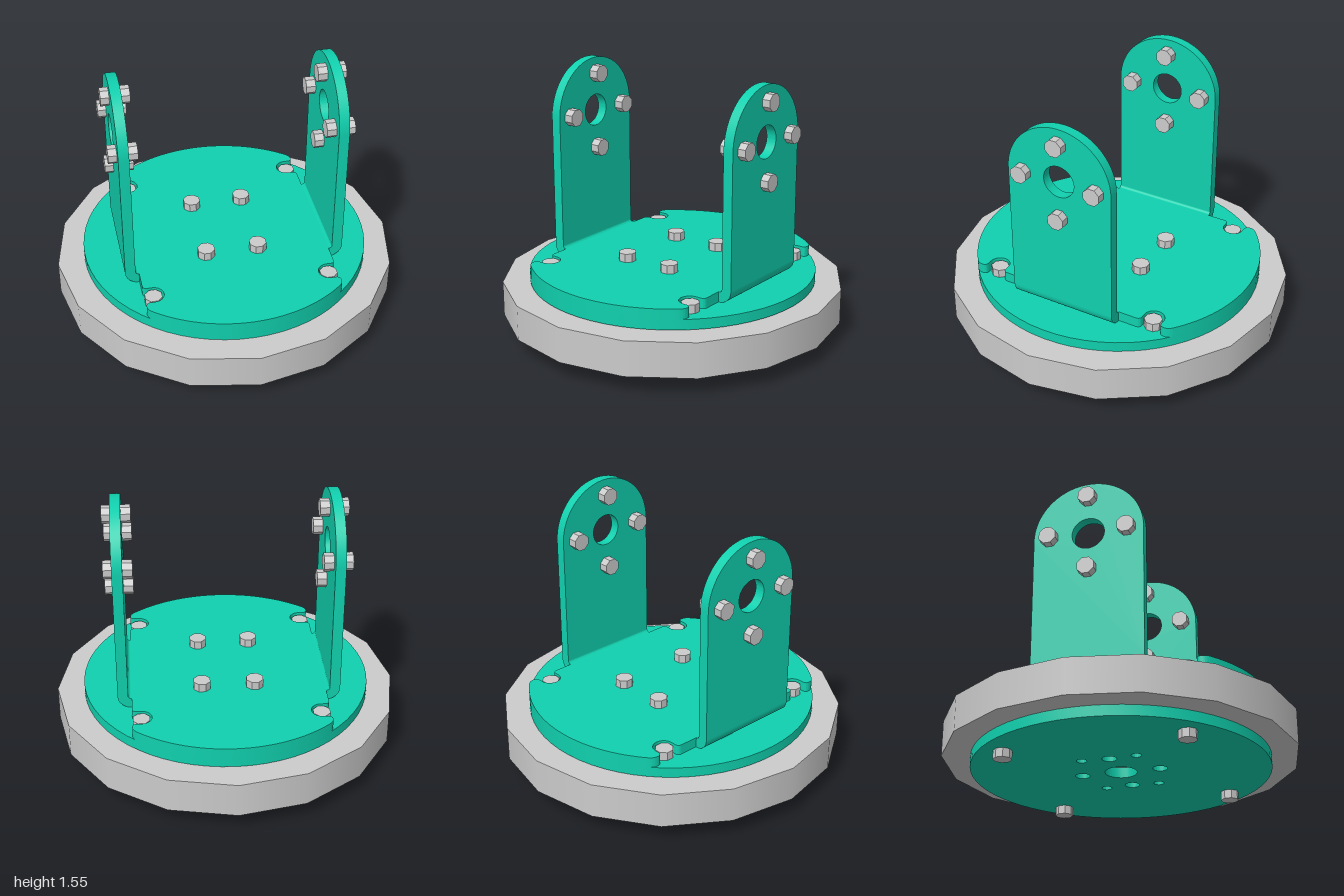
import * as THREE from 'three';
import { toCreasedNormals } from 'three/addons/utils/BufferGeometryUtils.js';

const teal = new THREE.MeshStandardMaterial({ color: 0x10d0ae });
const grey = new THREE.MeshStandardMaterial({ color: 0xcccccc });
const steel = new THREE.MeshStandardMaterial({ color: 0xcccccc, flatShading: true });

const SIGNS = [[1, 1], [-1, 1], [-1, -1], [1, -1]];

function addMesh(parent, name, geometry, material) {
  const mesh = new THREE.Mesh(geometry, material);
  mesh.name = name;
  parent.add(mesh);
  return mesh;
}

function extrude(shape, depth, curveSegments = 32) {
  const g = new THREE.ExtrudeGeometry(shape, { depth, bevelEnabled: false, curveSegments });
  return toCreasedNormals(g, 0.5);
}

function hole(shape, x, y, r) {
  shape.holes.push(new THREE.Path().absarc(x, y, r, 0, Math.PI * 2, true));
}

// Eight-sided bolt with flats square to the axes, running from 'from' to 'to'
function boltGeometry(from, to) {
  const g = new THREE.CylinderGeometry(0.052, 0.052, to - from, 8);
  g.rotateY(Math.PI / 8);
  g.translate(0, (from + to) / 2, 0);
  return g;
}

// Round drilled plate lying flat
function discPlate() {
  const shape = new THREE.Shape().absarc(0, 0, 0.84, 0, Math.PI * 2, false);
  hole(shape, 0, 0, 0.09);
  for (const [a, b] of SIGNS) hole(shape, a * 0.235, b * 0.155, 0.029);
  for (let i = 0; i < 4; i++) {
    const t = i * Math.PI / 2;
    hole(shape, 0.225 * Math.cos(t), 0.225 * Math.sin(t), 0.041);
  }
  return extrude(shape, 0.06).rotateX(-Math.PI / 2);
}

// Bracket floor: a disc cut straight at both sides, notched around the corner bolts
function bracketFloor() {
  const q = new THREE.Path();
  q.moveTo(0.56, 0);
  q.lineTo(0.56, 0.425);
  q.quadraticCurveTo(0.56, 0.452, 0.533, 0.452);
  q.lineTo(0.508, 0.452);
  q.absarc(0.508, 0.512, 0.06, -Math.PI / 2, Math.PI / 2, true);
  q.lineTo(0.533, 0.572);
  q.quadraticCurveTo(0.56, 0.572, 0.56, 0.6);
  q.quadraticCurveTo(0.56, 0.625, 0.537, 0.646);
  q.absarc(0, 0, 0.84, Math.atan2(0.646, 0.537), Math.PI / 2, false);
  const quarter = q.getPoints(14);
  const half = [...quarter, ...quarter.slice(0, -1).reverse().map(p => new THREE.Vector2(-p.x, p.y))];
  const lower = half.slice(1, -1).reverse().map(p => new THREE.Vector2(p.x, -p.y));
  return extrude(new THREE.Shape([...half, ...lower]), 0.06).rotateX(-Math.PI / 2);
}

// Upright arm with a rounded top and an axle hole
function armGeometry() {
  const s = new THREE.Shape();
  s.moveTo(-0.318, 0.455);
  s.lineTo(0.318, 0.455);
  s.lineTo(0.318, 1.23);
  s.absarc(0, 1.23, 0.318, 0, Math.PI, false);
  s.closePath();
  hole(s, 0, 1.23, 0.094);
  return extrude(s, 0.06).rotateY(Math.PI / 2).translate(0.58, 0, 0);
}

// Quarter bend joining floor and arm
function bendGeometry() {
  const s = new THREE.Shape();
  s.moveTo(0.55, 0.38);
  s.lineTo(0.565, 0.38);
  s.absarc(0.565, 0.455, 0.075, -Math.PI / 2, 0, false);
  s.lineTo(0.58, 0.455);
  s.absarc(0.565, 0.455, 0.015, 0, -Math.PI / 2, true);
  s.lineTo(0.55, 0.44);
  s.closePath();
  return extrude(s, 0.636, 10).translate(0, 0, -0.318);
}

export function createModel() {
  const model = new THREE.Group();
  model.name = 'panTurntableBracket';

  // Sixteen-sided turntable body between two plates
  addMesh(model, 'turntableBody', new THREE.CylinderGeometry(1, 1, 0.205, 16), grey).position.y = 0.2125;
  addMesh(model, 'lowerPlate', discPlate(), teal).position.y = 0.05;
  const upper = addMesh(model, 'upperPlate', discPlate(), teal);
  upper.position.y = 0.32;
  upper.rotation.y = Math.PI / 2;

  // U-shaped bracket
  const bracket = new THREE.Group();
  bracket.name = 'bracket';
  model.add(bracket);
  addMesh(bracket, 'bracketFloor', bracketFloor(), teal).position.y = 0.38;

  const arm = armGeometry();
  const bend = bendGeometry();
  const armBolt = boltGeometry(0.525, 0.688).rotateZ(-Math.PI / 2);
  for (const side of [1, -1]) {
    const group = new THREE.Group();
    group.name = side > 0 ? 'leftArm' : 'rightArm';
    group.rotation.y = side > 0 ? 0 : Math.PI;
    bracket.add(group);
    addMesh(group, 'armPlate', arm, teal);
    addMesh(group, 'armBend', bend, teal);
    for (let i = 0; i < 4; i++) {
      const t = i * Math.PI / 2;
      addMesh(group, 'armBolt', armBolt, steel)
        .position.set(0, 1.23 + 0.225 * Math.sin(t), 0.225 * Math.cos(t));
    }
  }

  // Long corner bolts through the turntable and short bolts in the bracket floor
  const cornerBolt = boltGeometry(0, 0.43);
  const floorBolt = boltGeometry(0.32, 0.49);
  for (const [a, b] of SIGNS) {
    addMesh(model, 'cornerBolt', cornerBolt, steel).position.set(a * 0.508, 0, b * 0.508);
    addMesh(model, 'floorBolt', floorBolt, steel).position.set(a * 0.153, 0, b * 0.233);
  }
  return model;
}
